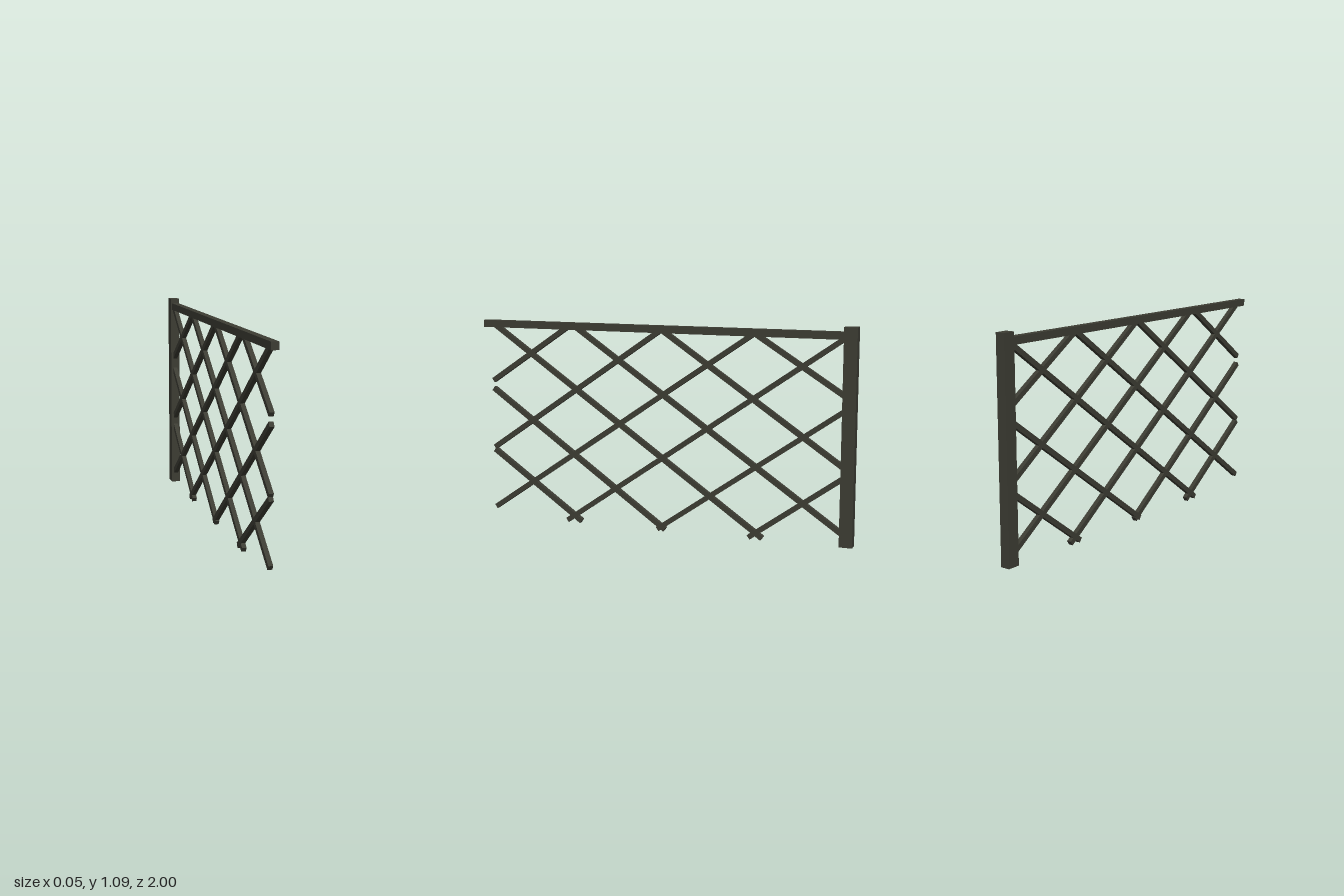
import * as THREE from 'three';

export function createModel() {
  const group = new THREE.Group();
  const iron = new THREE.MeshStandardMaterial({ color: 0x3c3c33 });
  iron.name = 'darkIron';

  const box = (name, w, h, d, y, z) => {
    const mesh = new THREE.Mesh(new THREE.BoxGeometry(w, h, d), iron);
    mesh.name = name;
    mesh.position.set(0, y, z);
    group.add(mesh);
    return mesh;
  };

  // Upright post at the back end and the handrail running forward from it
  box('post', 0.048, 1.075, 0.066, 0.5525, -0.967);
  box('topRail', 0.037, 0.037, 1.95, 1.0475, 0.025);

  // Straight lattice bar between two (z, y) points
  const bar = (name, [z1, y1], [z2, y2]) => {
    const length = Math.hypot(z2 - z1, y2 - y1);
    const mesh = box(name, 0.023, 0.026, length, (y1 + y2) / 2, (z1 + z2) / 2);
    mesh.rotation.x = -Math.atan2(y2 - y1, z2 - z1);
  };

  // Bars that climb toward the front
  [
    [[0.962, 1.057], [-0.54, 0.017]],
    [[0.955, 0.702], [-0.02, 0.015]],
    [[0.955, 0.37], [0.45, 0.017]],
    [[0.475, 1.045], [-0.96, 0.065]],
    [[0.0, 1.045], [-0.96, 0.395]],
    [[-0.485, 1.045], [-0.96, 0.745]],
  ].forEach(([a, b]) => bar('forwardRisingBar', a, b));

  // Bars that climb toward the back
  [
    [[0.955, 0.745], [0.515, 1.045]],
    [[0.955, 0.384], [0.0, 1.045]],
    [[0.955, 0.056], [-0.49, 1.045]],
    [[0.53, 0.017], [-0.96, 1.05]],
    [[0.02, 0.015], [-0.96, 0.695]],
    [[-0.47, 0.017], [-0.96, 0.365]],
  ].forEach(([a, b]) => bar('backwardRisingBar', a, b));

  return group;
}
